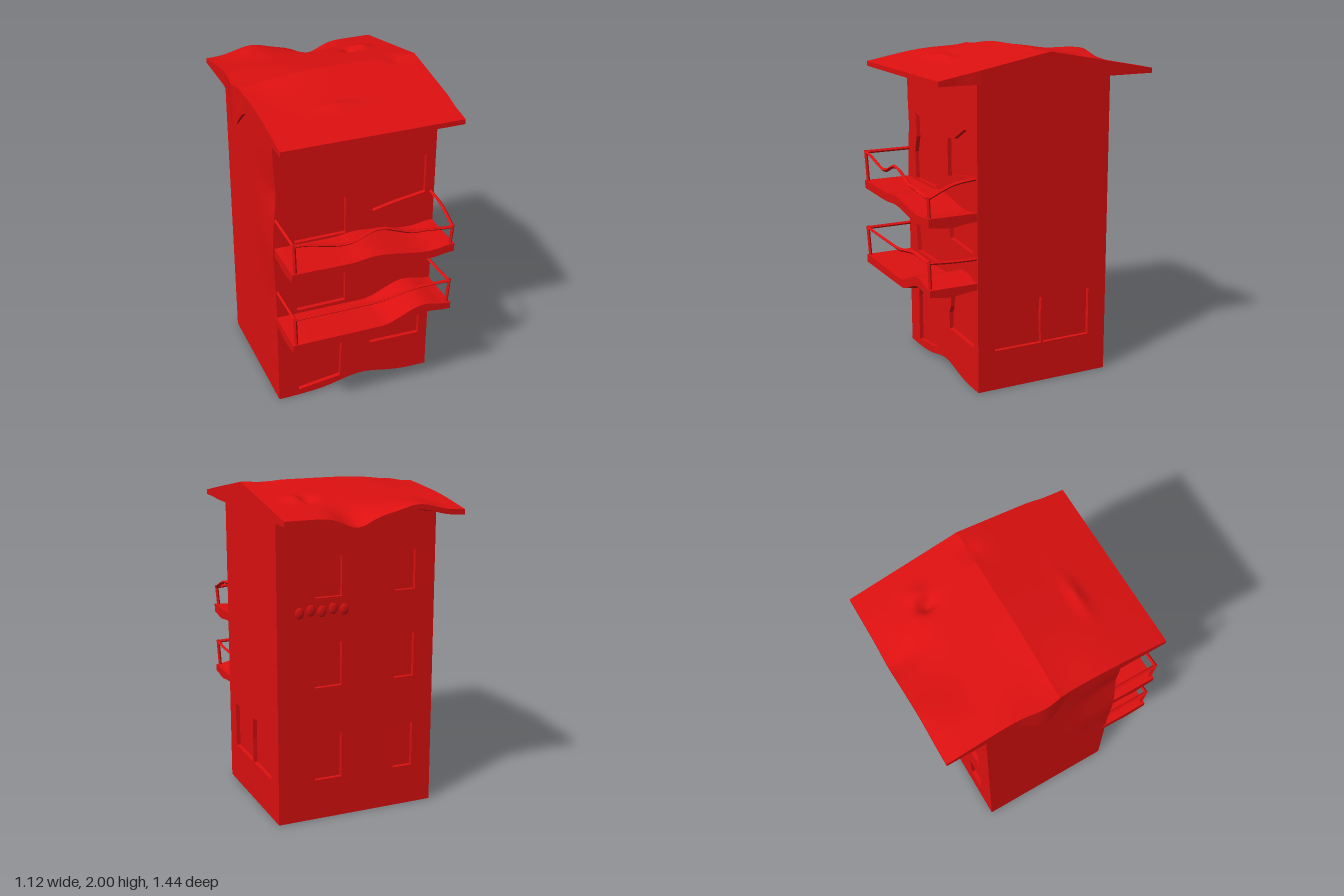
import * as THREE from 'three';
import { toCreasedNormals } from 'three/addons/utils/BufferGeometryUtils.js';

const red = new THREE.MeshStandardMaterial({ color: 0xdd1010 });
const redThin = new THREE.MeshStandardMaterial({ color: 0xdd1010, side: THREE.DoubleSide });

const g = (v, mid, width) => Math.exp(-(((v - mid) / width) ** 2));
const step = THREE.MathUtils.smoothstep;

// Smooth height curve through [x, y] points
function through(pts) {
  return (x) => {
    if (x <= pts[0][0]) return pts[0][1];
    for (let i = 1; i < pts.length; i++) {
      const [x0, y0] = pts[i - 1], [x1, y1] = pts[i];
      if (x <= x1) return y0 + (y1 - y0) * step(x, x0, x1);
    }
    return pts[pts.length - 1][1];
  };
}

// Segmented box whose vertices are moved by a rule
function warpedBox(name, size, segs, centre, rule) {
  const geo = new THREE.BoxGeometry(...size, ...segs).translate(...centre);
  const p = geo.attributes.position, v = new THREE.Vector3();
  for (let i = 0; i < p.count; i++) {
    v.fromBufferAttribute(p, i);
    rule(v);
    p.setXYZ(i, v.x, v.y, v.z);
  }
  const mesh = new THREE.Mesh(toCreasedNormals(geo, 0.3), red);
  mesh.name = name;
  return mesh;
}

// Arched foot of the front wall, and the wavering right-hand wall
const base = (x, z) => 0.055 * g(x, 0.05, 0.2) * step(z, -0.25, 0.41);
const waver = (y, z) => (0.014 * g(y, 1.47, 0.12) - 0.014 * g(y, 1.08, 0.2)) * step(z, 0, 0.4);

// Wall slab with openings; u runs along the wall, y up
function panel(name, outline, openings) {
  const toPts = (a) => a.map(([u, y]) => new THREE.Vector2(u, y));
  const shape = new THREE.Shape(toPts(outline));
  openings.forEach((o) => shape.holes.push(new THREE.Path(toPts(o))));
  const mesh = new THREE.Mesh(new THREE.ExtrudeGeometry(shape, { depth: 0.025, bevelEnabled: false }), red);
  mesh.name = name;
  return mesh;
}
const rect = (u0, u1, y0, y1) => [[u0, y0], [u1, y0], [u1, y1], [u0, y1]];

function bar(name, pts, radius = 0.011) {
  const curve = new THREE.CatmullRomCurve3(pts.map((p) => new THREE.Vector3(...p)));
  const geo = new THREE.TubeGeometry(curve, pts.length > 2 ? 32 : 1, radius, 4);
  const mesh = new THREE.Mesh(toCreasedNormals(geo, 0.6), redThin);
  mesh.name = name;
  return mesh;
}

// Balcony: wavy slab, front rail, side rails and corner posts
function balcony(name, top, bottom, rail, wallRail) {
  const group = new THREE.Group();
  group.name = name;
  group.add(warpedBox('balconyFloor', [1.01, 1, 0.32], [40, 1, 6], [0, 0, 0.55], (v) => {
    const near = 1 - step(v.z, 0.4, 0.71) * 0.15;
    v.y = v.y > 0 ? top(v.x) : bottom(v.x) - 0.02 * g(v.z, 0.58, 0.08) * near;
  }));
  const xs = Array.from({ length: 17 }, (_, i) => -0.49 + i * 0.98 / 16);
  group.add(bar('frontRail', xs.map((x) => [x, rail(x), 0.705])));
  [-0.49, 0.49].forEach((x, i) => {
    const y = rail(x);
    group.add(bar('cornerPost', [[x * 0.98, top(x) - 0.03, 0.695], [x, y + 0.01, 0.705]]));
    group.add(bar('sideRail', [[x, y, 0.705], [x, (y + wallRail[i]) / 2 + (wallRail[i] - y) * 0.25, 0.55], [x, wallRail[i], 0.39]]));
  });
  return group;
}

export function createModel() {
  const house = new THREE.Group();
  house.name = 'house';

  // Inner core, seen at the back of every recess and as the plain side wall
  house.add(warpedBox('core', [0.985, 1.85, 0.82], [30, 40, 20], [-0.0075, 0.925, -0.025], (v) => {
    if (v.x < -0.49) v.x += waver(v.y, v.z);
    if (v.y < 0.001) v.y = base(v.x, v.z);
  }));

  // Front wall with doors on one side and windows on the other
  const front = [];
  for (let i = 0; i <= 30; i++) {
    const x = -0.5 + i * 1.01 / 30;
    front.push([x, base(x, 0.41)]);
  }
  front.push([0.51, 1.86]);
  for (let i = 30; i > 0; i--) front.push([-0.5 + waver(i * 0.062, 0.41), i * 0.062]);
  const frontWall = panel('frontWall', front, [
    [[-0.37, 0.04], [-0.09, 0.075], [-0.08, 0.33], [-0.06, 0.4], [-0.06, 0.545], [-0.34, 0.52], [-0.37, 0.34]],
    [[0.11, 0.275], [0.45, 0.265], [0.45, 0.56], [0.3, 0.575], [0.14, 0.55], [0.13, 0.42], [0.11, 0.38]],
    [[-0.37, 0.65], [-0.06, 0.65], [-0.06, 1.04], [-0.2, 1.02], [-0.4, 1.02], [-0.4, 0.9]],
    [[0.13, 0.86], [0.45, 0.84], [0.45, 1.07], [0.12, 1.06], [0.12, 0.95]],
    [[-0.38, 1.13], [-0.06, 1.13], [-0.06, 1.37], [-0.12, 1.38], [-0.2, 1.46], [-0.28, 1.53], [-0.37, 1.55], [-0.36, 1.4], [-0.39, 1.3]],
    [[0.11, 1.24], [0.25, 1.27], [0.45, 1.3], [0.45, 1.555], [0.34, 1.555], [0.2, 1.48], [0.11, 1.47]],
  ]);
  frontWall.position.z = 0.385;
  house.add(frontWall);

  // Back wall, two columns of windows on three floors
  const backOpenings = [[0.25, 0.53], [0.83, 1.1], [1.37, 1.61]].flatMap(([y0, y1]) => [
    rect(-0.275, -0.105, y0, y1), rect(0.24, 0.37, y0, y1)]);
  const backWall = panel('backWall', rect(-0.51, 0.5, 0, 1.86), backOpenings);
  backWall.rotation.y = Math.PI;
  backWall.position.z = -0.435;
  house.add(backWall);

  // Wrinkles in the back wall under an upper window
  for (let i = 0; i < 5; i++) {
    const fold = new THREE.Mesh(new THREE.SphereGeometry(1, 12, 8), red);
    fold.name = 'wallFold';
    fold.scale.set(0.03, 0.035, 0.01);
    fold.position.set(0.09 + i * 0.07, 1.29 + 0.01 * (i % 2), -0.458);
    house.add(fold);
  }

  // Side wall with a pair of low windows
  const sideWall = panel('sideWall', rect(-0.385, 0.435, 0, 1.86), [
    [[-0.3, 0.245], [0.012, 0.245], [0.005, 0.4], [0.012, 0.535], [-0.3, 0.535]],
    [[0.026, 0.245], [0.34, 0.245], [0.34, 0.54], [0.27, 0.56], [0.19, 0.572], [0.1, 0.545], [0.03, 0.535], [0.02, 0.4]],
  ]);
  sideWall.rotation.y = Math.PI / 2;
  sideWall.position.x = 0.485;
  house.add(sideWall);

  // Solid gable roof with sagging and rippled surfaces
  house.add(warpedBox('roof', [1.1, 1, 1.38], [66, 1, 80], [0.01, 0, -0.03], (v) => {
    const { x, z } = v;
    const ripple = (0.045 * g(x, -0.25, 0.14) - 0.06 * g(x, 0.13, 0.11)) * (1 - step(z, -0.72, -0.4));
    const droop = g(x, -0.54, 0.06) * g(z, -0.12, 0.11);
    if (v.y > 0) {
      v.y = 2 - 0.13 * Math.abs(z + 0.03) / 0.69 + ripple
        - 0.045 * g(x, -0.54, 0.25) * g(z, -0.03, 0.25)
        - 0.015 * g(x, 0.42, 0.06) * g(z, -0.02, 0.06)
        - 0.045 * g(x, 0.29, 0.04) * g(z, -0.38, 0.05)
        + 0.02 * g(x, 0.37, 0.05) * g(z, -0.4, 0.06)
        + 0.02 * g(x, -0.08, 0.12) * g(z, 0.36, 0.04);
    } else {
      v.y = 1.84 + ripple - 0.16 * droop - 0.04 * g(x, 0, 0.15) * g(z, 0.41, 0.1);
    }
    v.x -= 0.02 * droop;
    if (x > 0.5) v.x -= 0.01 * step(z, 0.4, 0.55);
  }));

  // Two front balconies
  house.add(balcony('upperBalcony',
    through([[-0.5, 1.12], [-0.15, 1.115], [0, 1.13], [0.35, 1.085], [0.5, 1.1]]),
    through([[-0.5, 1.07], [-0.15, 1.065], [0, 1.075], [0.35, 1.035], [0.5, 1.05]]),
    through([[-0.49, 1.305], [-0.17, 1.25], [0.01, 1.305], [0.27, 1.235], [0.49, 1.215]]), [1.305, 1.3]));
  house.add(balcony('lowerBalcony',
    through([[-0.5, 0.63], [0.05, 0.625], [0.33, 0.71], [0.5, 0.68]]),
    through([[-0.5, 0.58], [0.08, 0.58], [0.33, 0.655], [0.5, 0.64]]),
    through([[-0.49, 0.81], [0, 0.805], [0.3, 0.845], [0.49, 0.84]]), [0.81, 0.825]));

  return house;
}
